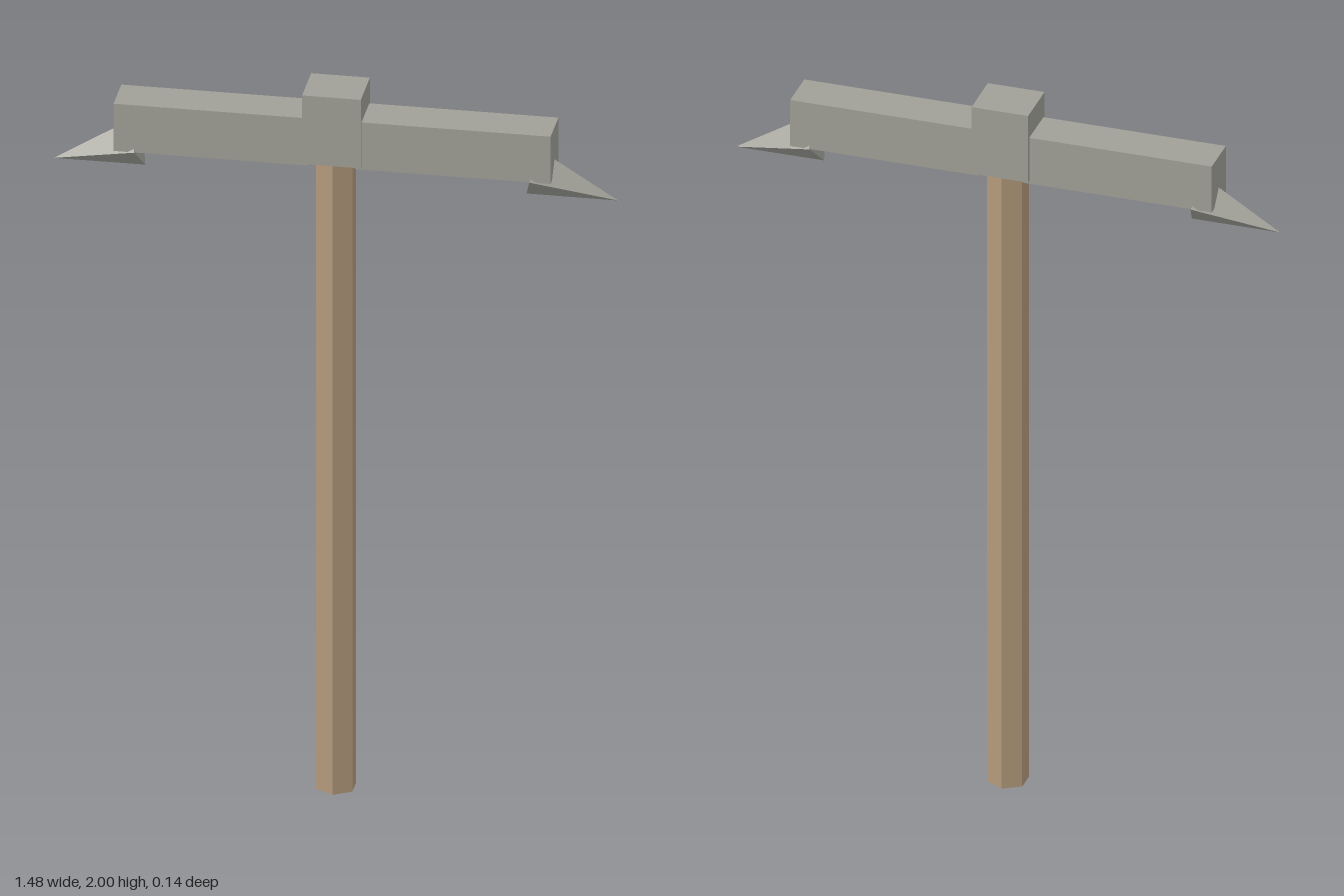
import * as THREE from 'three';

export function createModel() {
  const model = new THREE.Group();
  model.name = 'pickaxe';
  const metal = new THREE.MeshStandardMaterial({ color: 0xa0a098, flatShading: true });
  const wood = new THREE.MeshStandardMaterial({ color: 0xb39a7c, flatShading: true });

  const add = (name, geometry, material, x, y) => {
    const mesh = new THREE.Mesh(geometry, material);
    mesh.name = name;
    mesh.position.set(x, y, 0);
    model.add(mesh);
    return mesh;
  };

  // Hexagonal handle, with its top set into the head block
  const handleHeight = 1.83;
  add('handle', new THREE.CylinderGeometry(0.055, 0.055, handleHeight, 6), wood, 0, handleHeight / 2);

  // Central block of the head
  add('headBlock', new THREE.BoxGeometry(0.154, 0.196, 0.136), metal, 0, 1.902);

  // Mirrored arms, each ending in a four-sided spike that droops outward
  const armInner = 0.06, armOuter = 0.573;
  const tipX = 0.74, tipY = 1.735;
  const spikeLength = 0.231, spikeRadius = 0.066, droop = 0.28;
  for (const [label, side] of [['left', 1], ['right', -1]]) {
    add(label + 'Arm', new THREE.BoxGeometry(armOuter - armInner, 0.135, 0.117), metal,
      side * (armInner + armOuter) / 2, 1.8635);

    const spike = add(label + 'Spike', new THREE.ConeGeometry(spikeRadius, spikeLength, 4), metal,
      side * (tipX - Math.cos(droop) * spikeLength / 2),
      tipY + Math.sin(droop) * spikeLength / 2);
    spike.rotation.z = -side * (Math.PI / 2 + droop);
  }
  return model;
}
